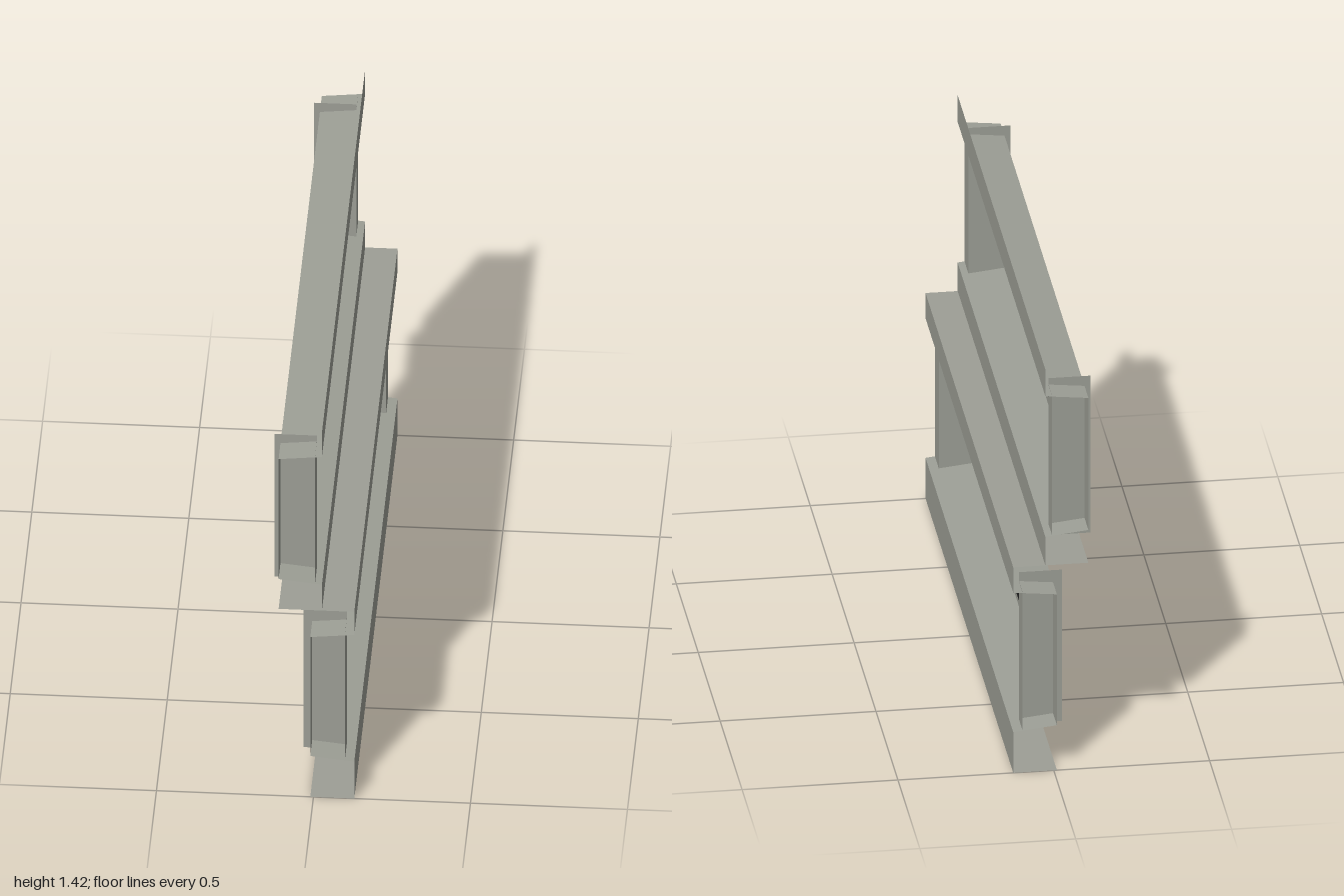
import * as THREE from 'three';

const frameGrey = new THREE.MeshStandardMaterial({ color: 0x9d9f96, side: THREE.DoubleSide });
frameGrey.name = 'frame grey';
const glassBlack = new THREE.MeshStandardMaterial({ color: 0x232323 });
glassBlack.name = 'dark glass';

// Flat four-sided sheet from one corner and its two edge vectors
function sheet(name, corner, u, v) {
  const geo = new THREE.PlaneGeometry(1, 1);
  const p = geo.attributes.position;
  for (let i = 0; i < p.count; i++) {
    const s = p.getX(i) + 0.5, t = p.getY(i) + 0.5;
    p.setXYZ(i, ...corner.map((c, k) => c + u[k] * s + v[k] * t));
  }
  geo.computeVertexNormals();
  const mesh = new THREE.Mesh(geo, frameGrey);
  mesh.name = name;
  return mesh;
}

// Sheet running the full length in z between two (x, y) points
const rail = (name, a, b) =>
  sheet(name, [a[0], a[1], -1], [0, 0, 2], [b[0] - a[0], b[1] - a[1], 0]);

function sash(name, o) {
  const g = new THREE.Group();
  g.name = name;
  const { front, back, plate, webBack, bottom, sill, head, top } = o;

  // Rails: upright front plates with horizontal returns
  g.add(rail('bottomRailFront', [front, bottom], [front, sill]));
  g.add(rail('bottomRailUnderside', [front, bottom], [back, bottom]));
  g.add(rail('sill', [front, sill], [back, sill + 0.015]));
  g.add(rail('topRailFront', [front, head], [front, top]));
  g.add(rail('head', [front, head], [back, head - 0.015]));

  // Backing panel carrying the glass
  g.add(rail('panel', [back, sill + 0.015], [back, head - 0.015]));

  // Stiles: front plate and inner web, open to the outside
  for (const s of [1, -1]) {
    g.add(sheet('stileFront', [plate, sill, s * 0.912], [0, 0, s * 0.088], [0, head - sill, 0]));
    g.add(sheet('stileWeb', [webBack, o.webLow, s * 0.912],
      [plate - webBack, 0, 0], [0, o.webHigh - o.webLow, 0]));
  }

  // Glass, showing on both faces of the panel
  const [y0, y1] = o.glass;
  const glass = new THREE.Mesh(new THREE.BoxGeometry(0.006, y1 - y0, 1.73), glassBlack);
  glass.position.set(back, (y0 + y1) / 2, -0.02);
  glass.name = 'glass';
  g.add(glass);
  return g;
}

export function createModel() {
  const model = new THREE.Group();
  model.name = 'sashWindow';
  model.add(sash('lowerSash', {
    front: 0.13, back: -0.01, plate: 0.1, webBack: -0.038,
    bottom: 0, sill: 0.144, head: 0.637, top: 0.727,
    webLow: 0.13, webHigh: 0.665, glass: [0.19, 0.585],
  }));
  model.add(sash('upperSash', {
    front: 0.027, back: -0.111, plate: 0.005, webBack: -0.13,
    bottom: 0.727, sill: 0.828, head: 1.325, top: 1.42,
    webLow: 0.79, webHigh: 1.345, glass: [0.88, 1.26],
  }));
  // Ledge where the two sashes meet
  model.add(rail('meetingLedge', [0.027, 0.727], [0.13, 0.727]));
  return model;
}
